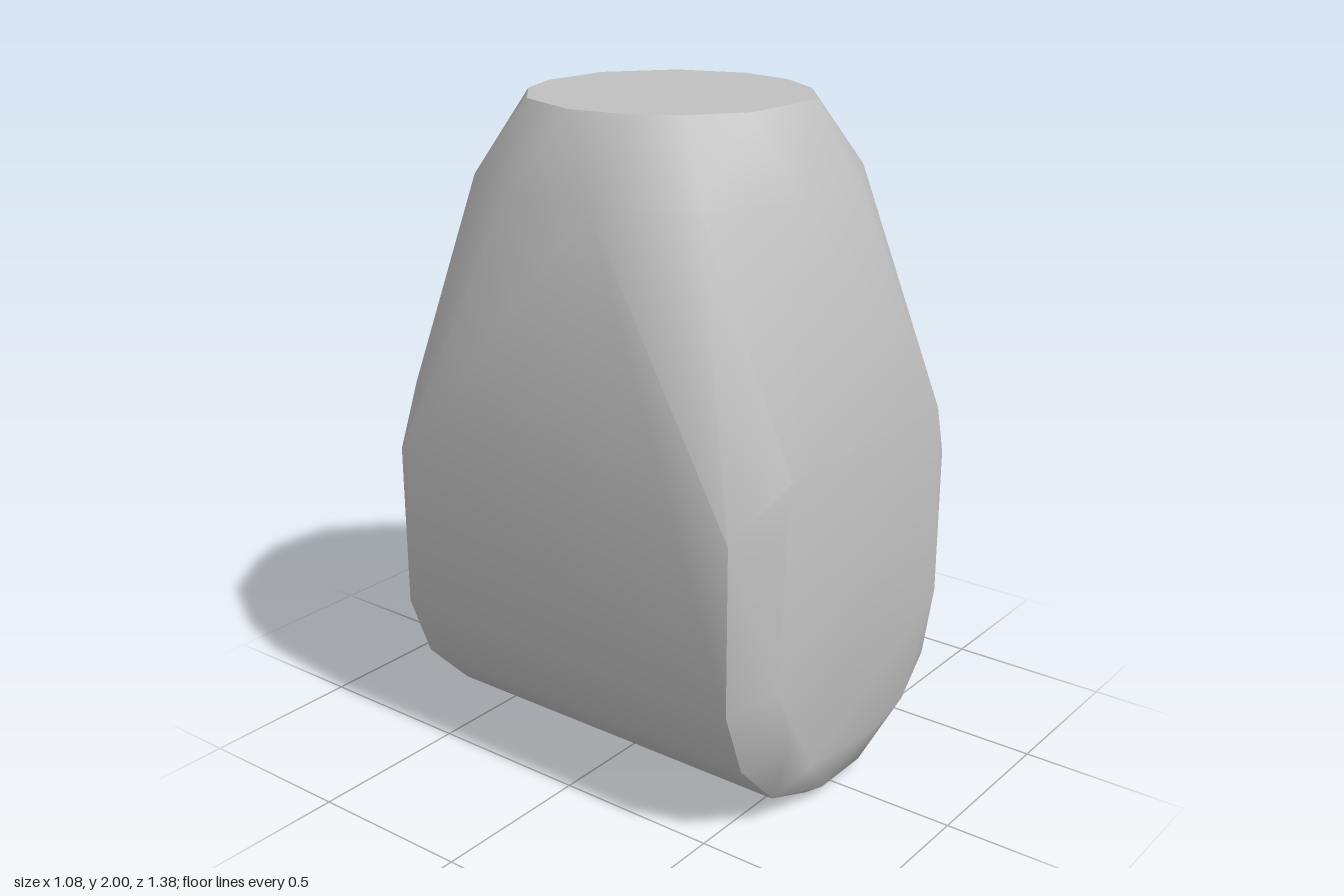
import * as THREE from 'three';
import { ConvexGeometry } from 'three/addons/geometries/ConvexGeometry.js';
import { toCreasedNormals } from 'three/addons/utils/BufferGeometryUtils.js';

export function createModel() {
  const group = new THREE.Group();
  group.name = 'taperedBlock';
  const grey = new THREE.MeshStandardMaterial({ color: 0xc0c0c0 });
  grey.name = 'plain grey';

  const points = [];
  const add = (x, y, z) => points.push(new THREE.Vector3(x, y, z));

  // Rounded-bottom end profiles (half width, height), mirrored in x and z
  const outer = [[0.1, 0], [0.31, 0.09], [0.465, 0.25], [0.54, 0.45], [0.54, 0.95]];
  const inner = [[0.1, 0.17], [0.25, 0.2], [0.36, 0.31], [0.42, 0.5], [0.42, 0.95], [0.38, 1.1]];
  for (const sx of [-1, 1]) {
    for (const sz of [-1, 1]) {
      outer.forEach(([x, y], i) => add(sx * x, y, sz * (i === 0 ? 0.58 : 0.6)));
      inner.forEach(([x, y]) => add(sx * x, y, sz * 0.69));
      add(sx * 0.1, 0.04, sz * 0.635);
    }
  }

  // Shoulder ring, below the flat top
  for (let i = 0; i < 12; i++) {
    const a = ((i + 0.5) / 12) * Math.PI * 2;
    const r = 0.54 / Math.cos(Math.PI / 12);
    add(r * Math.cos(a), 1.78, r * Math.sin(a));
  }

  // Slightly uneven flat top outline (x, z)
  const top = [
    [-0.06, -0.41], [0.16, -0.39], [0.34, -0.24], [0.41, -0.04], [0.385, 0.13],
    [0.29, 0.28], [0.13, 0.4], [-0.15, 0.385], [-0.3, 0.27], [-0.375, 0.16],
    [-0.41, -0.03], [-0.34, -0.24], [-0.2, -0.36],
  ];
  top.forEach(([x, z]) => add(x, 2, z));

  // Smooth body with sharp edges around the top and the side faces
  const body = new THREE.Mesh(toCreasedNormals(new ConvexGeometry(points), 0.76), grey);
  body.name = 'body';
  group.add(body);
  return group;
}
